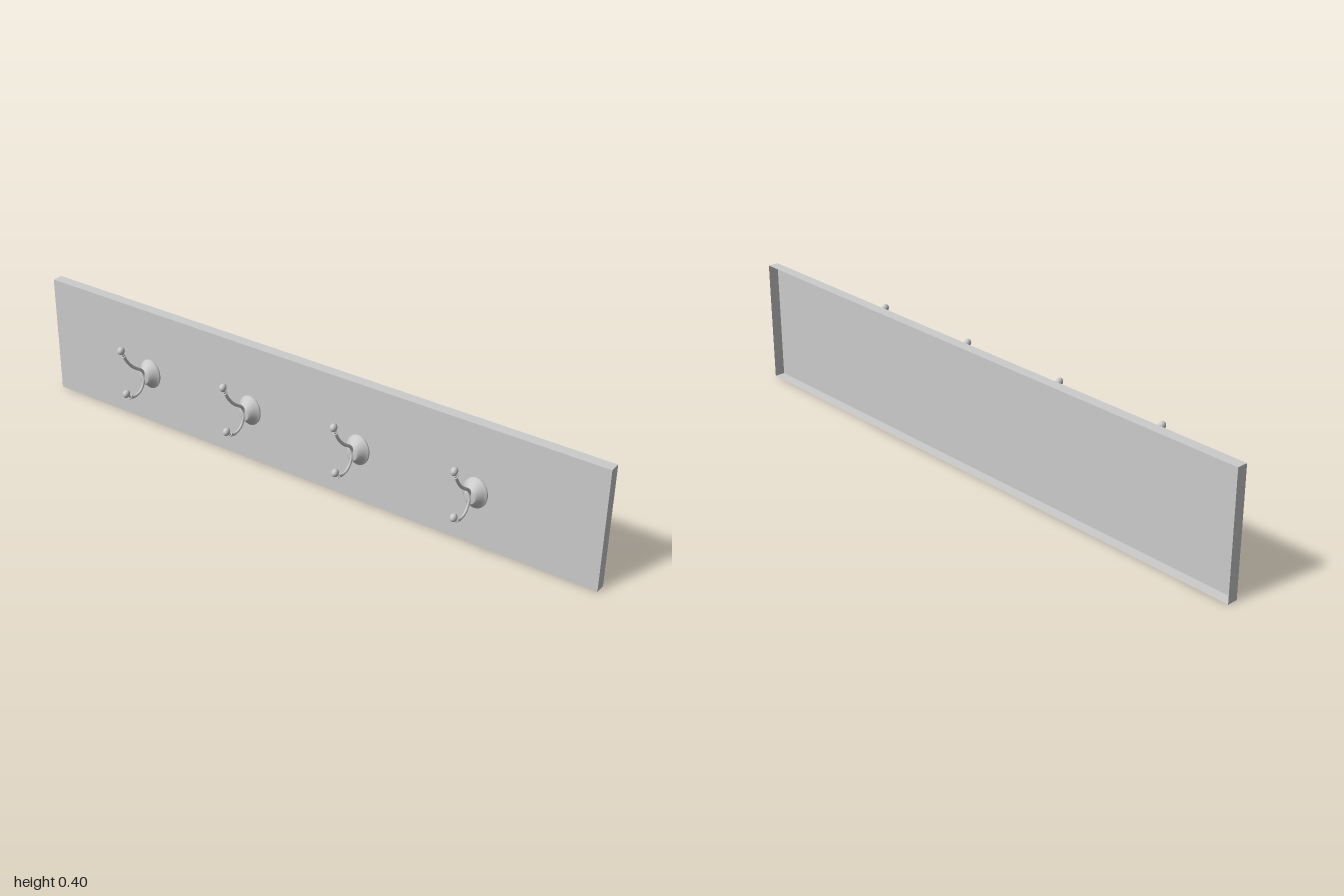
import * as THREE from 'three';

const material = new THREE.MeshStandardMaterial({ color: 0xcccccc, side: THREE.DoubleSide });

function add(parent, name, geometry) {
  const mesh = new THREE.Mesh(geometry, material);
  mesh.name = name;
  parent.add(mesh);
  return mesh;
}

// Centre line of the double hook as [z, y], from upper ball to lower ball
const hookPath = [
  [0.08, 0.321], [0.07, 0.298], [0.057, 0.2745], [0.036, 0.248], [0.0125, 0.228],
  [-0.005, 0.216], [-0.016, 0.203], [-0.021, 0.184], [-0.016, 0.162], [-0.004, 0.144],
  [0.0125, 0.1355], [0.027, 0.134], [0.041, 0.137], [0.052, 0.144], [0.068, 0.161],
];

// Flared base plate profile as [radius, height from board]
const plateProfile = [
  [0.0495, 0], [0.051, 0.002], [0.051, 0.005], [0.049, 0.007], [0.0465, 0.008],
  [0.041, 0.013], [0.034, 0.021], [0.028, 0.029], [0.024, 0.034], [0.02, 0.036], [0, 0.037],
];

function createHook() {
  const hook = new THREE.Group();
  hook.name = 'hook';

  const plate = add(hook, 'basePlate', new THREE.LatheGeometry(
    plateProfile.map(([r, h]) => new THREE.Vector2(r, h)), 40));
  plate.rotation.x = Math.PI / 2;
  plate.position.set(0, 0.18, -0.055);

  const points = hookPath.map(([z, y]) => new THREE.Vector3(0, y, z));
  const curve = new THREE.CatmullRomCurve3(points);
  add(hook, 'hookArm', new THREE.TubeGeometry(curve, 72, 0.005, 12));

  // Ball and two collars at each end of the arm
  const length = curve.getLength();
  for (const end of [0, 1]) {
    const ball = add(hook, end ? 'lowerBall' : 'upperBall', new THREE.SphereGeometry(0.013, 24, 16));
    ball.position.copy(points[end ? points.length - 1 : 0]);
    for (const [distance, radius] of [[0.0185, 0.0045], [0.0265, 0.006]]) {
      const t = Math.abs(end - distance / length);
      const collar = add(hook, 'collar', new THREE.TorusGeometry(radius, 0.0025, 8, 20));
      collar.position.copy(curve.getPointAt(t));
      collar.lookAt(collar.position.clone().add(curve.getTangentAt(t)));
    }
  }
  // Hooks are slightly narrower than they are tall
  hook.scale.x = 0.79;
  return hook;
}

export function createModel() {
  const model = new THREE.Group();
  model.name = 'hookRack';

  // Board is a shell open at the back: drop the last (rear) box face
  const box = new THREE.BoxGeometry(2, 0.402, 0.035);
  box.setIndex(Array.from(box.index.array).slice(0, 30));
  box.clearGroups();
  add(model, 'board', box).position.set(0, 0.201, -0.0725);

  for (const x of [-0.6, -0.2, 0.2, 0.6]) {
    const hook = createHook();
    hook.position.x = x;
    model.add(hook);
  }
  return model;
}
